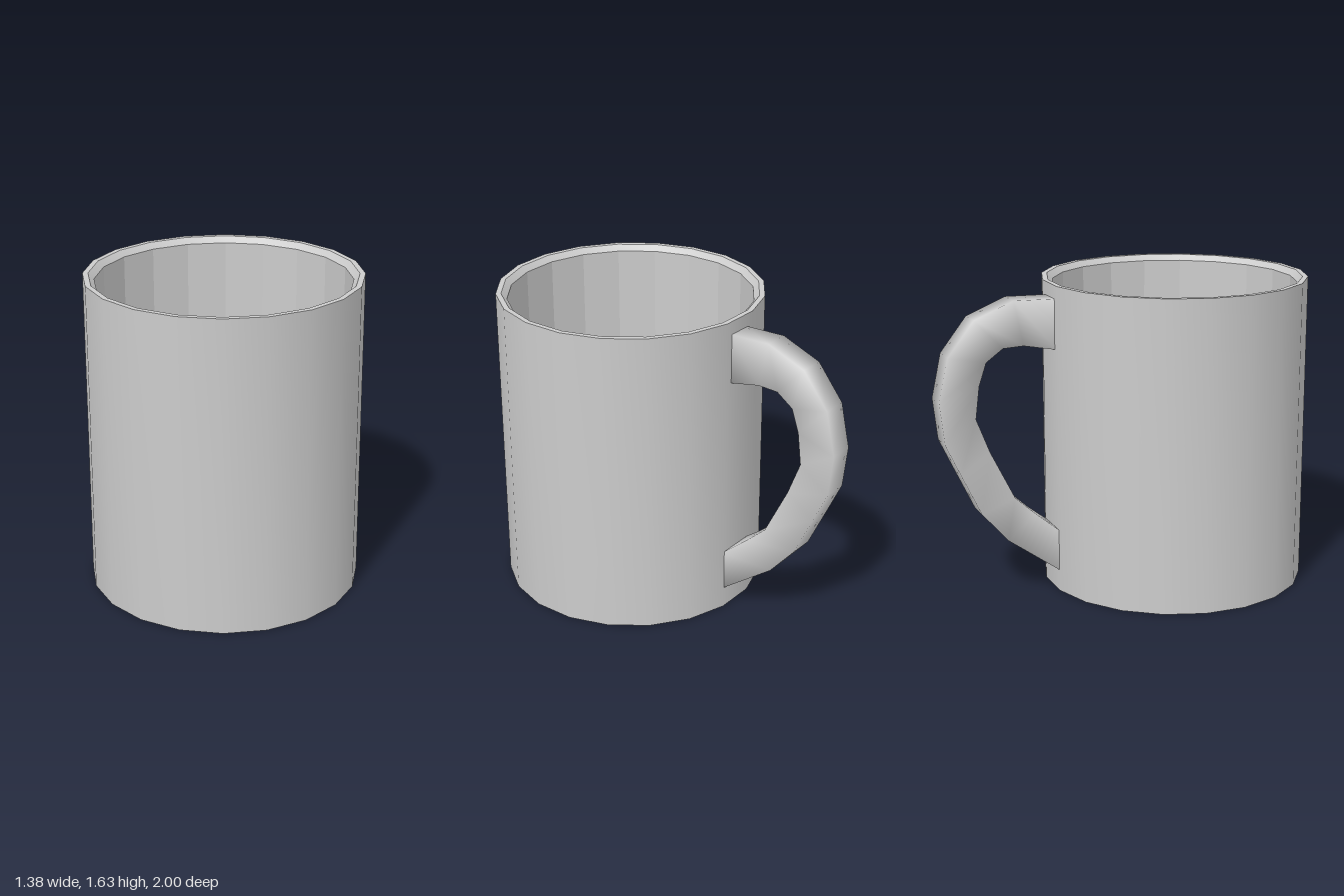
import * as THREE from 'three';
import { toCreasedNormals } from 'three/addons/utils/BufferGeometryUtils.js';

const SIDES = 20;
const CENTRE_Z = 0.308;

// Revolve a [radius, height] profile into a 20-sided shell with flats facing front and back
function revolve(profile) {
  const points = profile.map(([r, y]) => new THREE.Vector2(r, y));
  return new THREE.LatheGeometry(points, SIDES, Math.PI / SIDES);
}

// Loft rectangular sections: [outerZ, outerY, innerZ, innerY, halfWidth]
function loft(sections) {
  const positions = [];
  const indices = [];
  sections.forEach(([oz, oy, iz, iy, w], i) => {
    positions.push(-w, oy, oz, w, oy, oz, w, iy, iz, -w, iy, iz);
    if (i === 0) return;
    for (let k = 0; k < 4; k++) {
      const a = (i - 1) * 4 + k;
      const b = (i - 1) * 4 + ((k + 1) % 4);
      indices.push(a, b, b + 4, a, b + 4, a + 4);
    }
  });
  const geometry = new THREE.BufferGeometry();
  geometry.setAttribute('position', new THREE.Float32BufferAttribute(positions, 3));
  geometry.setIndex(indices);
  geometry.computeVertexNormals();
  return geometry;
}

export function createModel() {
  const group = new THREE.Group();
  group.name = 'mug';
  const smooth = new THREE.MeshStandardMaterial({ color: 0xcccccc });
  const faceted = new THREE.MeshStandardMaterial({ color: 0xcccccc, flatShading: true });

  function add(name, geometry, material, z = 0) {
    const mesh = new THREE.Mesh(geometry, material);
    mesh.name = name;
    mesh.position.z = z;
    group.add(mesh);
  }

  // Outer wall with a slightly recessed base and a sloped inner lip
  const body = revolve([
    [0, 0.01], [0.682, 0.01], [0.688, 0], [0.7, 0],
    [0.7, 1.63], [0.672, 1.63], [0.643, 1.6],
  ]);
  add('outerBody', toCreasedNormals(body, 0.5), smooth, CENTRE_Z);

  // Inner wall and floor
  add('innerCup', revolve([[0.643, 1.6], [0.643, 0.08], [0, 0.08]]), faceted, CENTRE_Z);

  // Handle, widening where it meets the wall at the bottom
  const w = 0.068;
  add('handle', loft([
    [-0.37, 1.56, -0.37, 1.295, w],
    [-0.6, 1.565, -0.55, 1.33, w],
    [-0.81, 1.48, -0.66, 1.325, w],
    [-0.95, 1.3, -0.75, 1.26, w],
    [-1, 1.07, -0.79, 1.14, w],
    [-0.975, 0.85, -0.81, 0.97, w],
    [-0.895, 0.68, -0.74, 0.79, w],
    [-0.79, 0.46, -0.61, 0.53, w],
    [-0.65, 0.3, -0.5, 0.43, w],
    [-0.37, 0.105, -0.37, 0.325, 0.107],
  ]), smooth);

  return group;
}
